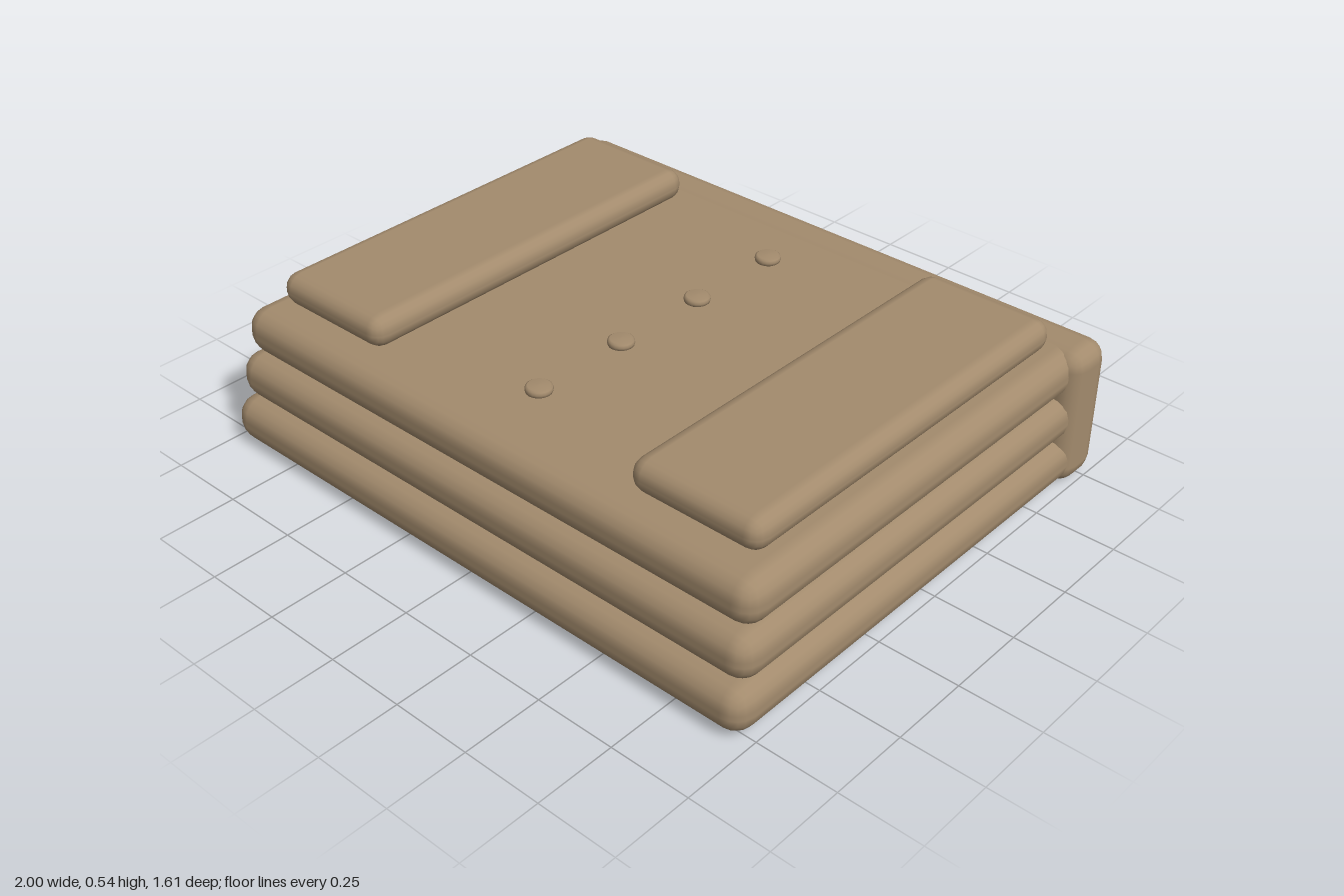
import * as THREE from 'three';
import { RoundedBoxGeometry } from 'three/addons/geometries/RoundedBoxGeometry.js';

export function createModel() {
  const model = new THREE.Group();
  model.name = 'foldedStack';
  const khaki = new THREE.MeshStandardMaterial({ color: 0xa38b6d });
  khaki.name = 'khaki';

  // Soft-edged slab given by its extents on each axis
  const slab = (name, [x0, x1], [y0, y1], [z0, z1], radius) => {
    const mesh = new THREE.Mesh(new RoundedBoxGeometry(x1 - x0, y1 - y0, z1 - z0, 2, radius), khaki);
    mesh.position.set((x0 + x1) / 2, (y0 + y1) / 2, (z0 + z1) / 2);
    mesh.name = name;
    model.add(mesh);
  };

  // Three folded layers, each slightly smaller than the one below
  [[0.99, 0.806], [0.98, 0.776], [0.967, 0.745]].forEach(([x, z], i) => {
    const y = 0.008 + i * 0.144;
    slab(`foldedLayer${i + 1}`, [-x, x], [y, y + 0.146], [-z, z], 0.065);
  });

  // Thick fold closing the back
  slab('backFold', [-1, 1], [0, 0.448], [-0.805, -0.635], 0.06);

  // Raised flaps on top
  slab('leftFlap', [0.47, 0.9], [0.44, 0.542], [-0.645, 0.645], 0.048);
  slab('rightFlap', [-0.9, -0.47], [0.44, 0.542], [-0.645, 0.645], 0.048);

  // Row of buttons down the middle
  const profile = [[0, 0], [0.032, 0], [0.038, 0.004], [0.04, 0.012], [0.038, 0.02], [0.032, 0.024], [0, 0.025]]
    .map(([r, y]) => new THREE.Vector2(r, y));
  const buttonGeometry = new THREE.LatheGeometry(profile, 20);
  for (let i = 0; i < 4; i++) {
    const button = new THREE.Mesh(buttonGeometry, khaki);
    button.position.set(0, 0.449, -0.488 + i * 0.323);
    button.name = `button${i + 1}`;
    model.add(button);
  }
  return model;
}
